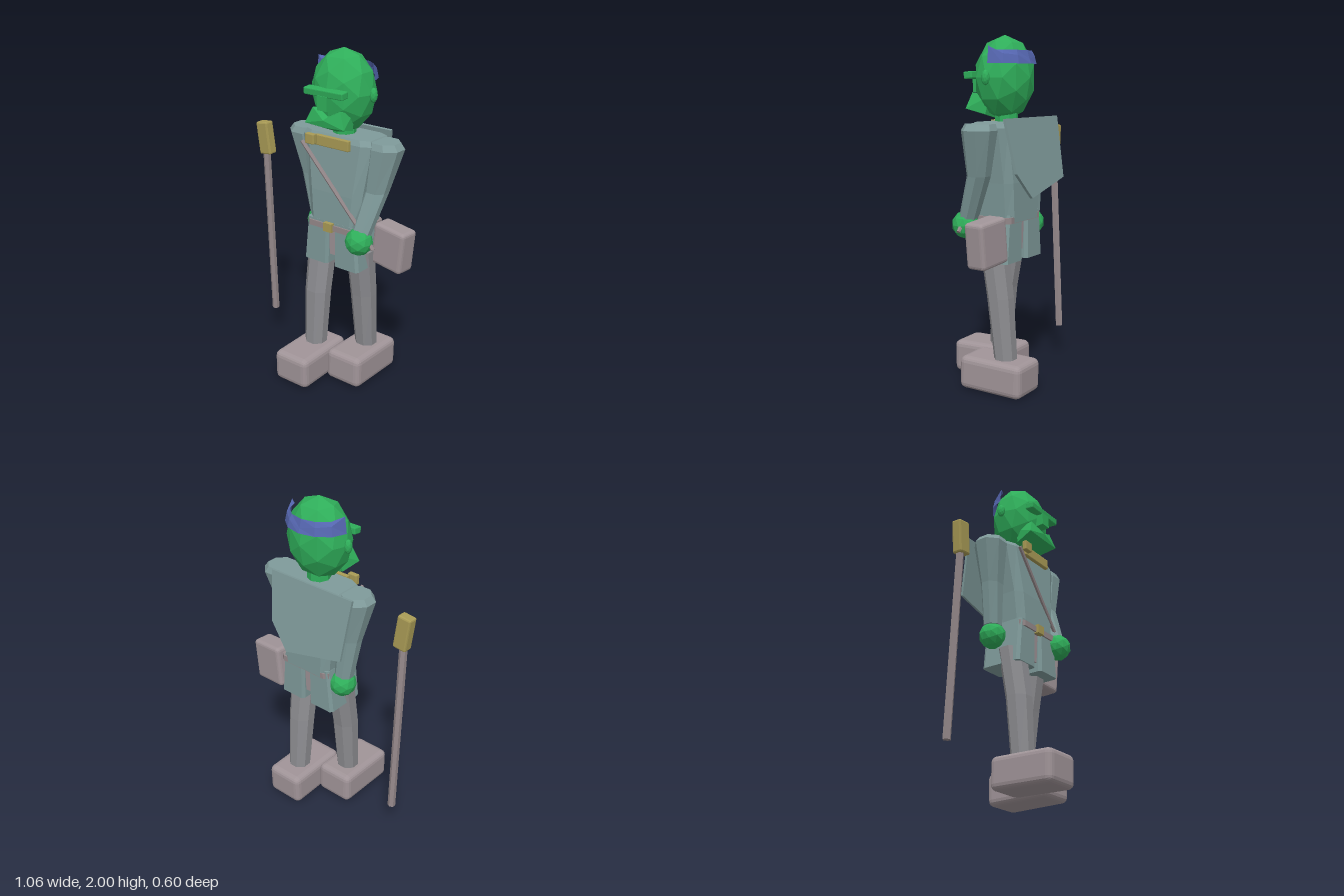
import * as THREE from 'three';
import { RoundedBoxGeometry } from 'three/addons/geometries/RoundedBoxGeometry.js';
import { ConvexGeometry } from 'three/addons/geometries/ConvexGeometry.js';

const paint = (color, extra = {}) => new THREE.MeshStandardMaterial({ color, flatShading: true, ...extra });
const V = (x, y, z) => new THREE.Vector3(x, y, z);

// Eight-sided solid through sections [cx, y, cz, halfX, halfZ], bottom to top;
// c sets the corner cut (0.41 = octagon, near 1 = box)
function loft(sections, c = 0.41) {
  const unit = [[1, -c], [1, c], [c, 1], [-c, 1], [-1, c], [-1, -c], [-c, -1], [c, -1]];
  const rings = sections.map(([x, y, z, hx, hz]) => unit.map(([u, w]) => [x + u * hx, y, z + w * hz]));
  const pos = [];
  const tri = (...p) => p.forEach((q) => pos.push(...q));
  for (let i = 0; i < rings.length - 1; i++) {
    for (let k = 0; k < 8; k++) {
      const n = (k + 1) % 8, lo = rings[i], hi = rings[i + 1];
      tri(lo[k], hi[k], lo[n]);
      tri(lo[n], hi[k], hi[n]);
    }
  }
  const bottom = rings[0], top = rings[rings.length - 1];
  for (let k = 1; k < 7; k++) {
    tri(top[0], top[k + 1], top[k]);
    tri(bottom[0], bottom[k], bottom[k + 1]);
  }
  const g = new THREE.BufferGeometry();
  g.setAttribute('position', new THREE.Float32BufferAttribute(pos, 3));
  g.computeVertexNormals();
  return g;
}

// Straight rod between two points
function rod(a, b, r, sides = 6) {
  const d = b.clone().sub(a);
  const g = new THREE.CylinderGeometry(r, r, d.length(), sides);
  g.applyQuaternion(new THREE.Quaternion().setFromUnitVectors(V(0, 1, 0), d.normalize()));
  return g.translate(...a.clone().add(b).multiplyScalar(0.5).toArray());
}

const ball = (r, detail = 1) => new THREE.IcosahedronGeometry(r, detail);

export function createModel() {
  const model = new THREE.Group();
  const skin = paint(0x2fae5a), coat = paint(0x7f9a9a), trousers = paint(0x8c8c90);
  const leather = paint(0xa09498), gold = paint(0xa89a55), wood = paint(0x94888a);
  const blue = paint(0x5566b0, { side: THREE.DoubleSide });

  const add = (name, geometry, material, pos = [0, 0, 0], rot = [0, 0, 0], parent = model) => {
    const m = new THREE.Mesh(geometry, material);
    m.name = name;
    m.position.set(...pos);
    m.rotation.set(...rot);
    parent.add(m);
    return m;
  };

  // Head and face
  const head = new THREE.Group();
  head.name = 'head';
  head.position.set(0.1, 1.77, -0.06);
  model.add(head);
  const part = (name, g, mat, pos, rot) => add(name, g, mat, pos, rot, head);
  part('skull', ball(1).scale(0.193, 0.235, 0.162), skin);
  part('brow', new RoundedBoxGeometry(0.265, 0.04, 0.055, 1, 0.006), skin, [0, 0.015, 0.163], [0.1, 0, 0]);
  part('nose', new THREE.BoxGeometry(0.065, 0.08, 0.06), skin, [0, -0.04, 0.165]);
  for (const s of [-1, 1]) {
    part('ear', ball(1).scale(0.022, 0.042, 0.024), skin, [s * 0.2, 0, 0]);
    // Jaw half
    part('jaw', new ConvexGeometry([
      V(0, -0.135, 0.185), V(s * 0.095, -0.08, 0.155), V(s * 0.135, -0.17, 0.175),
      V(0, -0.175, 0.178), V(0, -0.225, 0.06), V(s * 0.11, -0.2, 0.06), V(s * 0.1, -0.1, 0.04), V(0, -0.1, 0.04),
    ]), skin);
  }
  part('neck', new THREE.CylinderGeometry(0.065, 0.07, 0.14, 8), skin, [0, -0.26, -0.01]);

  // Headband round the back of the head, narrowing to its ends
  const band = new THREE.SphereGeometry(1, 6, 1, Math.PI * 1.02, Math.PI * 0.96, 0.95, 0.32);
  const bp = band.attributes.position;
  for (let i = 7; i < 14; i++) {
    const t = Math.sin(((i - 7) / 6) * Math.PI);
    bp.setY(i, bp.getY(i) + 0.22 * (1 - t) - (i % 2 ? 0 : 0.05));
  }
  band.scale(0.208, 0.255, 0.176);
  part('headband', band, blue);

  // Coat: body, tails, cape
  add('torso', loft([
    [0.11, 0.98, -0.07, 0.165, 0.135],
    [0.11, 1.2, -0.075, 0.19, 0.135],
    [0.105, 1.5, -0.08, 0.24, 0.115],
    [0.105, 1.53, -0.08, 0.22, 0.1],
  ], 0.75), coat);
  add('pelvis', loft([[0.105, 0.81, -0.065, 0.1, 0.1], [0.105, 1.0, -0.065, 0.15, 0.11]], 0.8), leather);
  for (const s of [-1, 1]) {
    add('coatTail', loft([
      [0.105 + s * 0.11, 0.755, -0.065, 0.085, 0.13],
      [0.105 + s * 0.095, 1.025, -0.065, 0.072, 0.13],
    ], 0.85), coat);
  }
  const capeShape = new THREE.Shape([
    [-0.245, 0], [-0.215, -0.36], [0.17, -0.445], [0.295, -0.3], [0.33, 0],
  ].map(([x, y]) => new THREE.Vector2(x, y)));
  add('cape', new THREE.ExtrudeGeometry(capeShape, { depth: 0.016, bevelEnabled: false }), coat,
    [0, 1.553, -0.205], [0.175, 0, 0]);

  // Arms and hands: the left reaches forward, the right hangs back
  const arms = [
    { shoulder: [0.385, -0.075], elbow: [0.345, -0.045], wrist: [0.308, 0.05], hand: [0.31, 0.96, 0.065] },
    { shoulder: [-0.18, -0.075], elbow: [-0.14, -0.09], wrist: [-0.11, -0.105], hand: [-0.105, 0.935, -0.11] },
  ];
  for (const { shoulder, elbow, wrist, hand } of arms) {
    add('arm', loft([
      [wrist[0], 0.99, wrist[1], 0.055, 0.05],
      [elbow[0], 1.24, elbow[1], 0.068, 0.06],
      [shoulder[0], 1.49, shoulder[1], 0.095, 0.092],
      [shoulder[0] - Math.sign(shoulder[0]) * 0.01, 1.525, shoulder[1], 0.08, 0.078],
    ]), coat);
    add('hand', ball(0.08), skin, hand);
  }

  // Legs in mid-stride with boots
  const legs = [
    { x: -0.02, ankle: 0.043, knee: 0.018, hip: -0.03, boot: [-0.015, 0.11, 0.1], tilt: 0.02 },
    { x: 0.225, ankle: -0.145, knee: -0.108, hip: -0.065, boot: [0.223, 0.105, -0.1], tilt: -0.02 },
  ];
  for (const { x, ankle, knee, hip, boot, tilt } of legs) {
    add('leg', loft([
      [x, 0.17, ankle, 0.063, 0.06],
      [x, 0.55, knee, 0.076, 0.07],
      [x, 0.85, hip, 0.082, 0.075],
    ]), trousers);
    add('boot', new RoundedBoxGeometry(0.242, 0.19, 0.4, 2, 0.035), leather, boot, [tilt, 0, 0]);
  }

  // Belt, buckle, collar bar and clasp
  add('belt', loft([[0.115, 0.978, -0.065, 0.178, 0.14], [0.115, 1.012, -0.065, 0.178, 0.14]], 0.85), wood);
  add('buckle', new THREE.BoxGeometry(0.058, 0.052, 0.03), gold, [0.102, 0.997, 0.075]);
  add('collarBar', new RoundedBoxGeometry(0.235, 0.062, 0.025, 1, 0.005), gold, [0.108, 1.495, 0.05]);

  // Held staff, running from the collar down through the left hand
  add('heldStaff', rod(V(-0.09, 1.475, 0.075), V(0.4, 0.93, 0.055), 0.012), wood);
  add('clasp', new RoundedBoxGeometry(0.062, 0.06, 0.03, 1, 0.005), gold, [-0.023, 1.502, 0.08]);

  // Satchel on the left hip
  add('satchel', new RoundedBoxGeometry(0.22, 0.255, 0.125, 2, 0.022), leather, [0.408, 0.89, -0.135], [0, -0.1, -0.1]);

  // Free-standing staff with its block head
  add('staff', rod(V(-0.48, 0.215, -0.105), V(-0.48, 1.31, -0.055), 0.023), wood);
  add('staffHead', new RoundedBoxGeometry(0.085, 0.2, 0.062, 1, 0.01), gold, [-0.48, 1.39, -0.053], [0.03, 0, 0.12]);

  return model;
}
